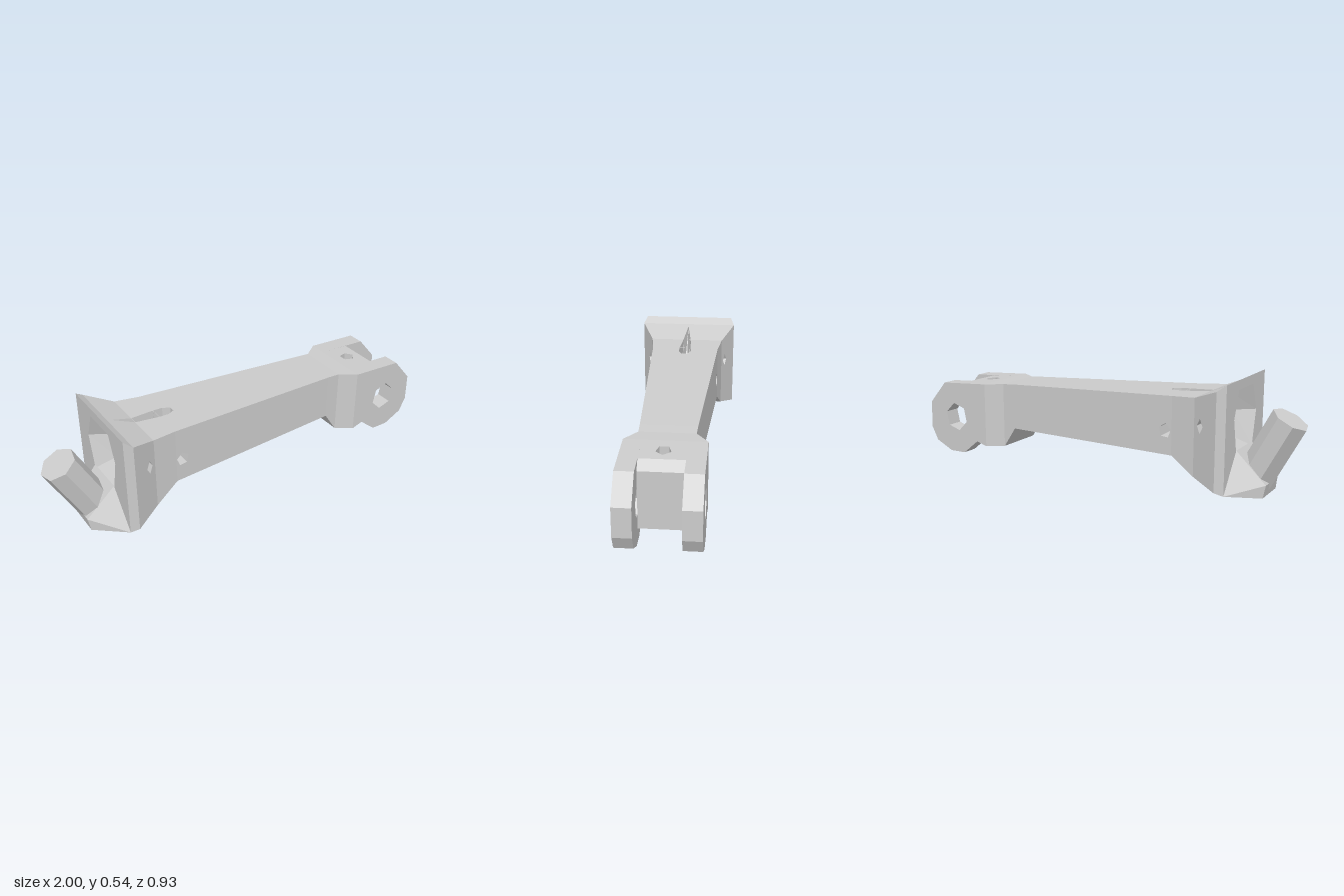
import * as THREE from 'three';
import { ConvexGeometry } from 'three/addons/geometries/ConvexGeometry.js';

const V = (x, y, z) => new THREE.Vector3(x, y, z);
const grey = new THREE.MeshStandardMaterial({ color: 0xcccccc, flatShading: true, side: THREE.DoubleSide });

function add(parent, name, geometry) {
  const mesh = new THREE.Mesh(geometry, grey);
  mesh.name = name;
  parent.add(mesh);
  return mesh;
}

// Flat plate with holes, placed in space by a mapping rule
function panel(parent, name, outline, holes, map) {
  const toV2 = pts => pts.map(p => new THREE.Vector2(p[0], p[1]));
  const shape = new THREE.Shape(toV2(outline));
  holes.forEach(h => shape.holes.push(new THREE.Path(toV2(h))));
  const g = new THREE.ShapeGeometry(shape);
  const pos = g.attributes.position;
  for (let i = 0; i < pos.count; i++) {
    const p = map(pos.getX(i), pos.getY(i));
    pos.setXYZ(i, p.x, p.y, p.z);
  }
  g.computeVertexNormals();
  add(parent, name, g);
}

// Walls joining two loops with the same number of points
function loft(parent, name, a, b, capped = false) {
  const pts = [];
  a.forEach((p, i) => {
    const j = (i + 1) % a.length;
    pts.push(p, a[j], b[j], p, b[j], b[i]);
    if (capped && i > 0 && i < a.length - 1) pts.push(b[0], b[i], b[i + 1]);
  });
  const g = new THREE.BufferGeometry().setFromPoints(pts);
  g.computeVertexNormals();
  add(parent, name, g);
}

const ngon = (cx, cy, rx, ry, n, turn = 0) => Array.from({ length: n }, (_, i) => {
  const a = turn + (i / n) * Math.PI * 2;
  return [cx + rx * Math.cos(a), cy + ry * Math.sin(a)];
});
const mirrorLoop = pts => [...pts, ...pts.slice(1).reverse().map(([u, v]) => [u, -v])];

// Box-section body through stations [x, halfWidth, bottom, top]; returns surface rules per section
function body(parent, name, stations, holes) {
  const sections = [];
  for (let i = 0; i < stations.length - 1; i++) {
    const A = stations[i], B = stations[i + 1];
    const at = (u, k) => A[k] + (B[k] - A[k]) * (u - A[0]) / (B[0] - A[0]);
    const flat = [[A[0], -A[1]], [B[0], -B[1]], [B[0], B[1]], [A[0], A[1]]];
    const tall = [[A[0], A[2]], [B[0], B[2]], [B[0], B[3]], [A[0], A[3]]];
    const maps = {
      top: (u, v) => V(u, at(u, 3), v),
      bottom: (u, v) => V(u, at(u, 2), v),
      left: (u, y) => V(u, y, at(u, 1)),
      right: (u, y) => V(u, y, -at(u, 1)),
    };
    for (const side in maps) {
      const outline = side === 'top' || side === 'bottom' ? flat : tall;
      panel(parent, name + ' ' + side, outline, holes[i]?.[side] ?? [], maps[side]);
    }
    sections.push(maps);
  }
  return sections;
}

export function createModel() {
  const root = new THREE.Group();
  root.name = 'linkArm';
  const arm = new THREE.Group();
  arm.name = 'arm';
  arm.rotation.y = 0.3;
  root.add(arm);
  const place = (loop, map) => loop.map(([u, w]) => map(u, w));

  // Main beam with flared head, side bores and a top slot running into a vertical bore
  const headBore = ngon(-0.615, 0.33, 0.018, 0.035, 4);
  const sideBore = ngon(-0.424, 0.28, 0.033, 0.036, 5, 0.4);
  const drain = ngon(-0.53, 0, 0.035, 0.032, 3);
  const slotTop = mirrorLoop([[-0.69, 0], [-0.58, 0.02], [-0.46, 0.032], [-0.41, 0.032], [-0.375, 0.014]]);
  const slotBottom = mirrorLoop([[-0.45, 0], [-0.446, 0.018], [-0.435, 0.028], [-0.41, 0.028], [-0.38, 0.014]]);
  const stations = [
    [-0.75, 0.24, 0.03, 0.535], [-0.71, 0.258, 0.045, 0.505], [-0.58, 0.195, 0.085, 0.455],
    [-0.46, 0.178, 0.165, 0.448], [0.47, 0.132, 0.17, 0.405], [0.54, 0.13, 0.066, 0.4], [0.62, 0.187, 0.066, 0.4],
  ];
  const beam = body(arm, 'beam', stations, {
    1: { top: [[[-0.69, 0], [-0.581, -0.02], [-0.581, 0.02]]], left: [headBore], right: [headBore] },
    2: { top: [[[-0.579, -0.02], [-0.461, -0.032], [-0.461, 0.032], [-0.579, 0.02]]], bottom: [drain] },
    3: {
      top: [[[-0.459, -0.032], [-0.41, -0.032], [-0.375, -0.014], [-0.375, 0.014], [-0.41, 0.032], [-0.459, 0.032]]],
      bottom: [slotBottom], left: [sideBore], right: [sideBore],
    },
  });
  const slotRim = slotTop.map(([u, v]) => beam[u < -0.58 ? 1 : u < -0.46 ? 2 : 3].top(u, v));
  loft(arm, 'slotWalls', slotRim, place(slotBottom, beam[3].bottom));
  loft(arm, 'sideBoreWalls', place(sideBore, beam[3].left), place(sideBore, beam[3].right));
  loft(arm, 'headBoreWalls', place(headBore, beam[1].left), place(headBore, beam[1].right));
  loft(arm, 'drainPit', place(drain, beam[2].bottom), drain.map(([u, v]) => V(u - 0.05, 0.2, v * 0.5)), true);

  // Head end face with a sloping pocket
  const pocket = [[-0.1, 0.19], [0.1, 0.19], [0.14, 0.36], [0.09, 0.49], [-0.09, 0.49], [-0.14, 0.36]];
  const face = [[-0.24, 0.03], [0.24, 0.03], [0.24, 0.535], [-0.24, 0.535]];
  panel(arm, 'headFace', face, [pocket], (v, y) => V(-0.75, y, v));
  loft(arm, 'headPocket', pocket.map(([v, y]) => V(-0.75, y, v)),
    pocket.map(([v, y]) => V(-0.65, 0.34 + (y - 0.34) * 0.7, v * 0.65)), true);

  // Shelf under the slanted post
  const shelf = [];
  for (const s of [-1, 1]) {
    shelf.push(V(-0.75, 0.03, 0.24 * s), V(-0.88, 0, 0.09 * s), V(-0.75, 0.21, 0.1 * s), V(-0.89, 0.06, 0.08 * s));
  }
  add(arm, 'shelf', new ConvexGeometry(shelf));

  // Slanted post
  const foot = V(-0.8, 0.05, 0), tip = V(-0.966, 0.362, 0);
  const axis = tip.clone().sub(foot);
  const post = add(arm, 'post', new THREE.CylinderGeometry(0.09, 0.09, axis.length(), 7));
  post.position.copy(foot).addScaledVector(axis, 0.5);
  post.quaternion.setFromUnitVectors(V(0, 1, 0), axis.normalize());

  // Bridge between the fork lugs, with a vertical bore
  const bore = ngon(0.705, 0, 0.04, 0.036, 5);
  const bridge = body(arm, 'bridge', [[0.62, 0.102, 0.066, 0.4], [0.78, 0.102, 0.066, 0.39], [0.82, 0.102, 0.075, 0.35]],
    { 0: { top: [bore], bottom: [bore] } });
  loft(arm, 'bridgeBoreWalls', place(bore, bridge[0].top), place(bore, bridge[0].bottom));
  panel(arm, 'bridgeEnd', [[-0.102, 0.075], [0.102, 0.075], [0.102, 0.35], [-0.102, 0.35]], [],
    (v, y) => V(0.82, y, v));

  // Mirrored fork lugs with pin holes
  const lugShape = new THREE.Shape([[0.62, 0.4], [0.62, 0.066], [0.68, 0.085], [0.77, 0.012], [0.86, 0.012],
    [0.955, 0.06], [0.99, 0.13], [0.988, 0.27], [0.89, 0.385]].map(p => new THREE.Vector2(...p)));
  lugShape.holes.push(new THREE.Path(ngon(0.815, 0.205, 0.07, 0.075, 6, 0.3).map(p => new THREE.Vector2(...p))));
  const lugGeometry = new THREE.ExtrudeGeometry(lugShape, { depth: 0.085, bevelEnabled: false });
  for (const [name, z] of [['leftLug', 0.102], ['rightLug', -0.187]]) add(arm, name, lugGeometry).position.z = z;

  return root;
}
